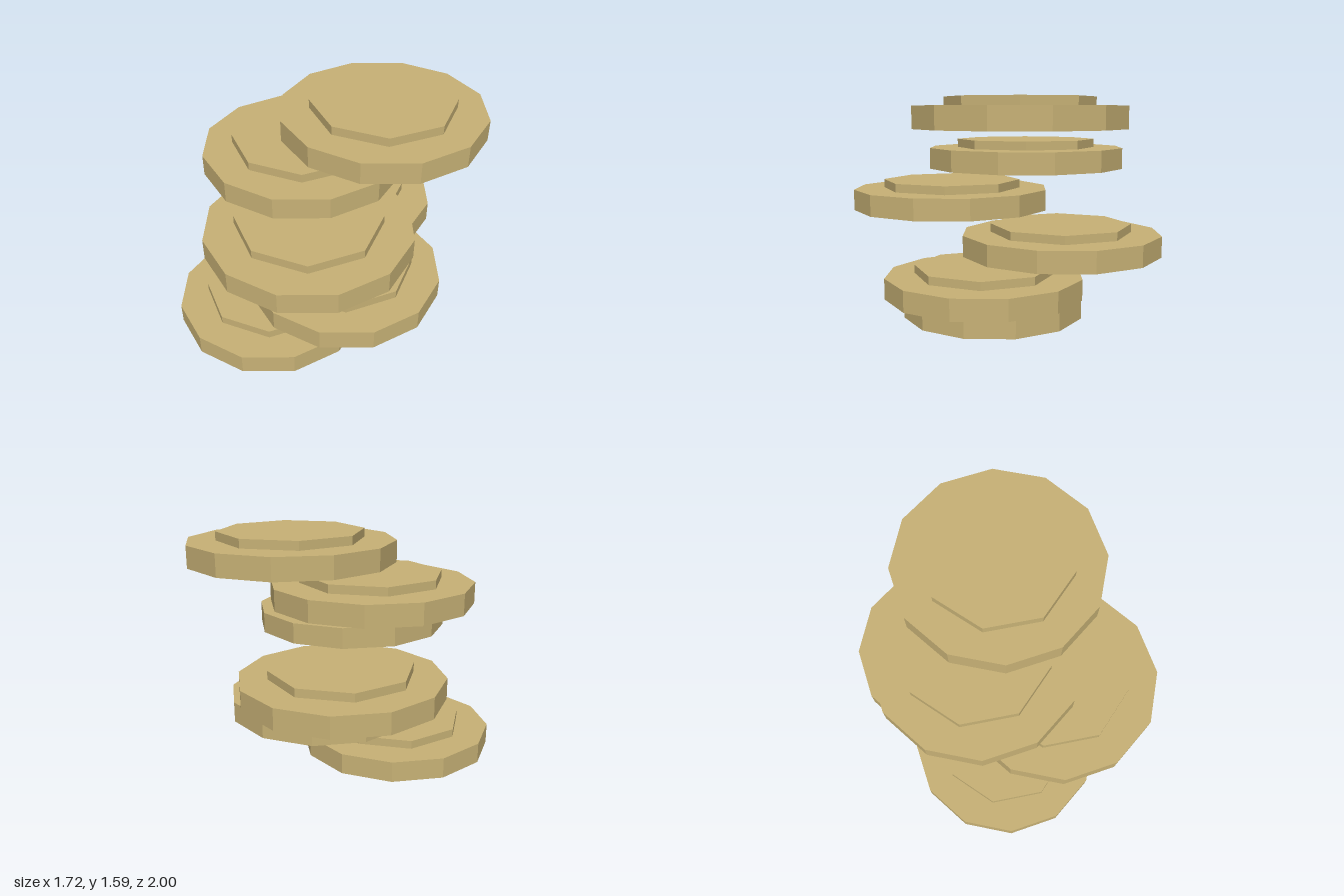
import * as THREE from 'three';

export function createModel() {
  const model = new THREE.Group();
  model.name = 'floatingDiscs';

  const sand = new THREE.MeshStandardMaterial({ color: 0xc8b276 });
  sand.name = 'sand';

  // Faceted slab and the smaller raised cap on top of it
  const slabHeight = 0.139, capHeight = 0.056, pitch = 0.278;
  const slabGeometry = new THREE.CylinderGeometry(0.667, 0.667, slabHeight, 12).toNonIndexed();
  const capGeometry = new THREE.CylinderGeometry(0.471, 0.471, capHeight, 8).toNonIndexed();
  slabGeometry.computeVertexNormals();
  capGeometry.computeVertexNormals();

  // Six discs: x alternates sides while z steps front, middle, back
  for (let i = 0; i < 6; i++) {
    const disc = new THREE.Group();
    disc.name = `disc${i + 1}`;
    disc.position.set(i % 2 ? 0.195 : -0.195, i * pitch, (1 - (i % 3)) * 0.333);

    const slab = new THREE.Mesh(slabGeometry, sand);
    slab.name = 'slab';
    slab.position.y = slabHeight / 2;

    const cap = new THREE.Mesh(capGeometry, sand);
    cap.name = 'raisedCap';
    cap.position.y = slabHeight + capHeight / 2;

    disc.add(slab, cap);
    model.add(disc);
  }
  return model;
}
